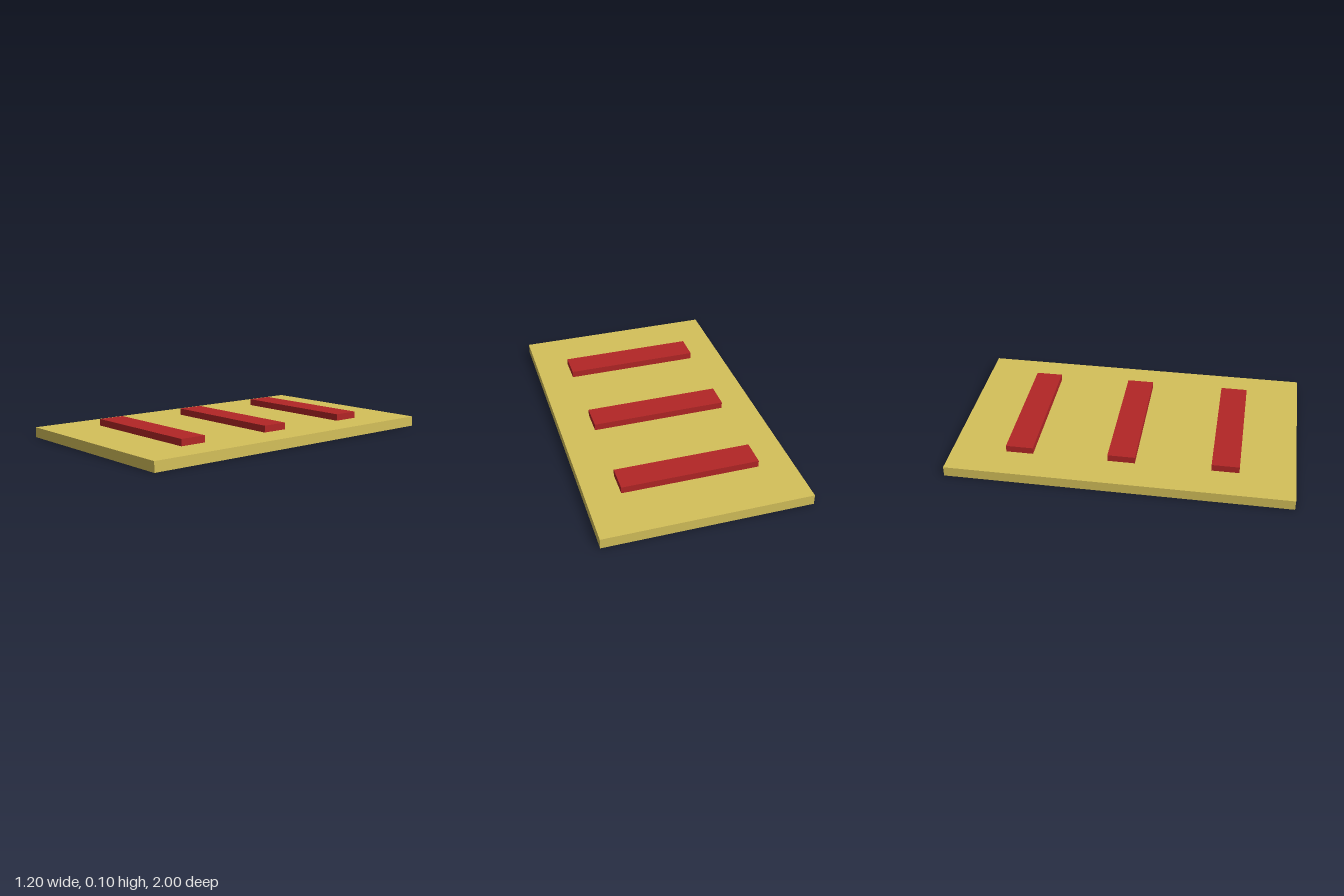
import * as THREE from 'three';

const boardMaterial = new THREE.MeshStandardMaterial({ color: 0xd4c05a });
const slatMaterial = new THREE.MeshStandardMaterial({ color: 0xb22626 });

// Box whose underside sits at height y
function slab(name, width, height, depth, y, z, material) {
  const mesh = new THREE.Mesh(new THREE.BoxGeometry(width, height, depth), material);
  mesh.name = name;
  mesh.position.set(0, y + height / 2, z);
  return mesh;
}

export function createModel() {
  const model = new THREE.Group();
  model.name = 'slattedBoard';

  // Flat base board
  model.add(slab('baseBoard', 1.2, 0.06, 2, 0, 0, boardMaterial));

  // Three raised cross slats, front to back
  const slatNames = ['frontSlat', 'middleSlat', 'backSlat'];
  slatNames.forEach((name, i) => {
    model.add(slab(name, 0.8, 0.04, 0.16, 0.06, 0.6 - i * 0.6, slatMaterial));
  });

  return model;
}
